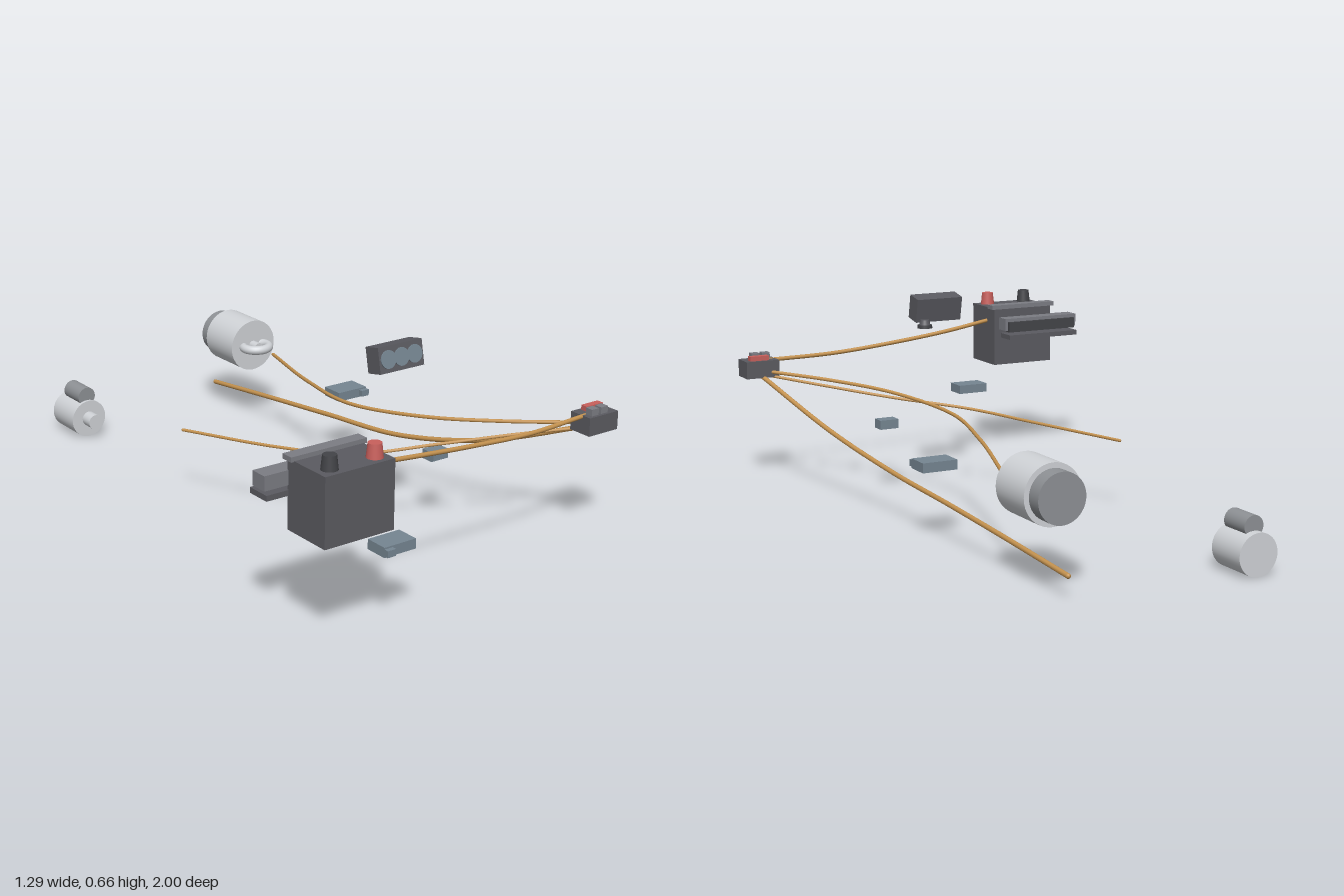
import * as THREE from 'three';

const mat = (color) => new THREE.MeshStandardMaterial({ color });

export function createModel() {
  const model = new THREE.Group();
  const black = mat(0x434448), dark = mat(0x5b5b61), grey = mat(0x7c7d84), red = mat(0xc9605c);
  const metal = mat(0xd0d3d7), steel = mat(0x8e9195), slate = mat(0x768692), copper = mat(0xc4924f);

  const add = (parent, name, geometry, material, x, y, z) => {
    const mesh = new THREE.Mesh(geometry, material);
    mesh.name = name;
    mesh.position.set(x, y, z);
    parent.add(mesh);
    return mesh;
  };
  const group = (name) => {
    const g = new THREE.Group();
    g.name = name;
    model.add(g);
    return g;
  };
  // Box from its lower and upper limits
  const box = (parent, name, material, [x0, x1], [y0, y1], [z0, z1]) =>
    add(parent, name, new THREE.BoxGeometry(x1 - x0, y1 - y0, z1 - z0), material,
      (x0 + x1) / 2, (y0 + y1) / 2, (z0 + z1) / 2);
  // Upright post and cylinder lying along z
  const post = (parent, name, material, rTop, rBottom, x, y0, y1, z) =>
    add(parent, name, new THREE.CylinderGeometry(rTop, rBottom, y1 - y0, 24), material, x, (y0 + y1) / 2, z);
  const barrel = (parent, name, material, r, x, y, z0, z1) =>
    add(parent, name, new THREE.CylinderGeometry(r, r, z1 - z0, 40).rotateX(Math.PI / 2), material, x, y, (z0 + z1) / 2);

  // Battery with strap and two terminals
  const battery = group('battery');
  box(battery, 'batteryCase', dark, [-0.567, -0.332], [0.328, 0.537], [0.829, 0.999]);
  box(battery, 'batteryStrap', grey, [-0.577, -0.32], [0.535, 0.55], [0.82, 0.86]);
  post(battery, 'negativeTerminal', black, 0.02, 0.025, -0.524, 0.535, 0.58, 0.96);
  post(battery, 'positiveTerminal', red, 0.02, 0.025, -0.372, 0.535, 0.58, 0.96);

  // Fuse panel behind the battery
  const fuses = group('fusePanel');
  box(fuses, 'fuseBase', grey, [-0.647, -0.352], [0.46, 0.504], [0.779, 0.835]);
  box(fuses, 'fuseCover', black, [-0.635, -0.362], [0.455, 0.492], [0.768, 0.793]);
  box(fuses, 'fuseRail', dark, [-0.64, -0.359], [0.429, 0.446], [0.757, 0.835]);

  // Junction box with terminal block and relays
  const junction = group('junctionBox');
  box(junction, 'junctionCase', dark, [0.529, 0.647], [0.366, 0.425], [0.784, 0.866]);
  box(junction, 'redTerminalBlock', red, [0.562, 0.63], [0.425, 0.441], [0.793, 0.816]);
  for (const x of [0.56, 0.598])
    box(junction, 'relay', grey, [x - 0.014, x + 0.014], [0.425, 0.446], [0.829, 0.856]);

  // Instrument panel, leaning back, with three dials
  const panel = group('instrumentPanel');
  panel.position.set(0.069, 0.613, 0.496);
  panel.rotation.x = -0.2;
  add(panel, 'panelCase', new THREE.BoxGeometry(0.167, 0.081, 0.06), dark, 0, 0, 0);
  for (const x of [-0.05, 0, 0.05]) barrel(panel, 'dial', slate, 0.028, x, 0, 0.028, 0.034);

  // Switch knob
  const knob = group('switchKnob');
  post(knob, 'knobBase', black, 0.024, 0.025, 0.171, 0.566, 0.577, 0.367);
  post(knob, 'knobCap', dark, 0.014, 0.019, 0.171, 0.577, 0.593, 0.367);

  // Generator with drive ring
  const generator = group('generator');
  barrel(generator, 'generatorBody', metal, 0.092, 0.362, 0.279, -0.842, -0.677);
  barrel(generator, 'generatorRearCap', steel, 0.076, 0.362, 0.279, -0.894, -0.842);
  barrel(generator, 'generatorShaft', metal, 0.017, 0.362, 0.279, -0.677, -0.64);
  add(generator, 'driveRing', new THREE.TorusGeometry(0.046, 0.016, 16, 40).rotateX(Math.PI / 2),
    metal, 0.362, 0.279, -0.658);

  // Starter motor with solenoid
  const starter = group('starterMotor');
  barrel(starter, 'starterBody', metal, 0.066, -0.223, 0.067, -0.999, -0.86);
  barrel(starter, 'starterNose', metal, 0.026, -0.223, 0.067, -0.86, -0.813);
  barrel(starter, 'solenoid', steel, 0.033, -0.223, 0.146, -0.973, -0.871);

  // Flat control modules, each with a connector tab: x, z, width, depth, tab side
  const modules = [[-0.267, 0.912, 0.112, 0.075, -1], [0.404, -0.18, 0.116, 0.08, 1], [0.278, 0.449, 0.066, 0.046, -1]];
  for (const [x, z, w, d, side] of modules) {
    const g = group('controlModule');
    box(g, 'moduleCase', slate, [x - w / 2, x + w / 2], [0.222, 0.253], [z - d / 2, z + d / 2]);
    const tx = x + side * w * 0.37;
    box(g, 'connectorTab', slate, [tx - w * 0.13, tx + w * 0.13], [0.227, 0.248], [z + d / 2, z + d * 0.7]);
  }

  // Wiring: name, radius, path points
  const wires = [
    ['batteryCable', 0.007, [[-0.338, 0.487, 0.892], [-0.15, 0.461, 0.872], [0.07, 0.438, 0.859], [0.3, 0.421, 0.848], [0.547, 0.42, 0.827]]],
    ['panelWire', 0.005, [[0.562, 0.37, 0.802], [0.4, 0.34, 0.667], [0.22, 0.307, 0.532], [0.002, 0.274, 0.378], [-0.118, 0.256, 0.162], [-0.26, 0.241, -0.177]]],
    ['generatorWire', 0.006, [[0.567, 0.385, 0.802], [0.4, 0.368, 0.612], [0.272, 0.349, 0.412], [0.197, 0.322, 0.122], [0.252, 0.3, -0.188], [0.362, 0.278, -0.55]]],
    ['starterCable', 0.008, [[0.587, 0.37, 0.802], [0.488, 0.235, 0.45], [0.422, 0.158, 0.1], [0.397, 0.127, -0.27], [0.379, 0.099, -0.6], [0.362, 0.069, -0.927]]],
  ];
  for (const [name, r, pts] of wires) {
    const v = pts.map((p) => new THREE.Vector3(...p));
    const curve = new THREE.CatmullRomCurve3(v);
    add(model, name, new THREE.TubeGeometry(curve, 48, r, 10), copper, 0, 0, 0);
    // Closed wire ends
    for (const end of [v[0], v[v.length - 1]])
      add(model, name + 'End', new THREE.SphereGeometry(r, 10, 8), copper, end.x, end.y, end.z);
  }
  return model;
}
